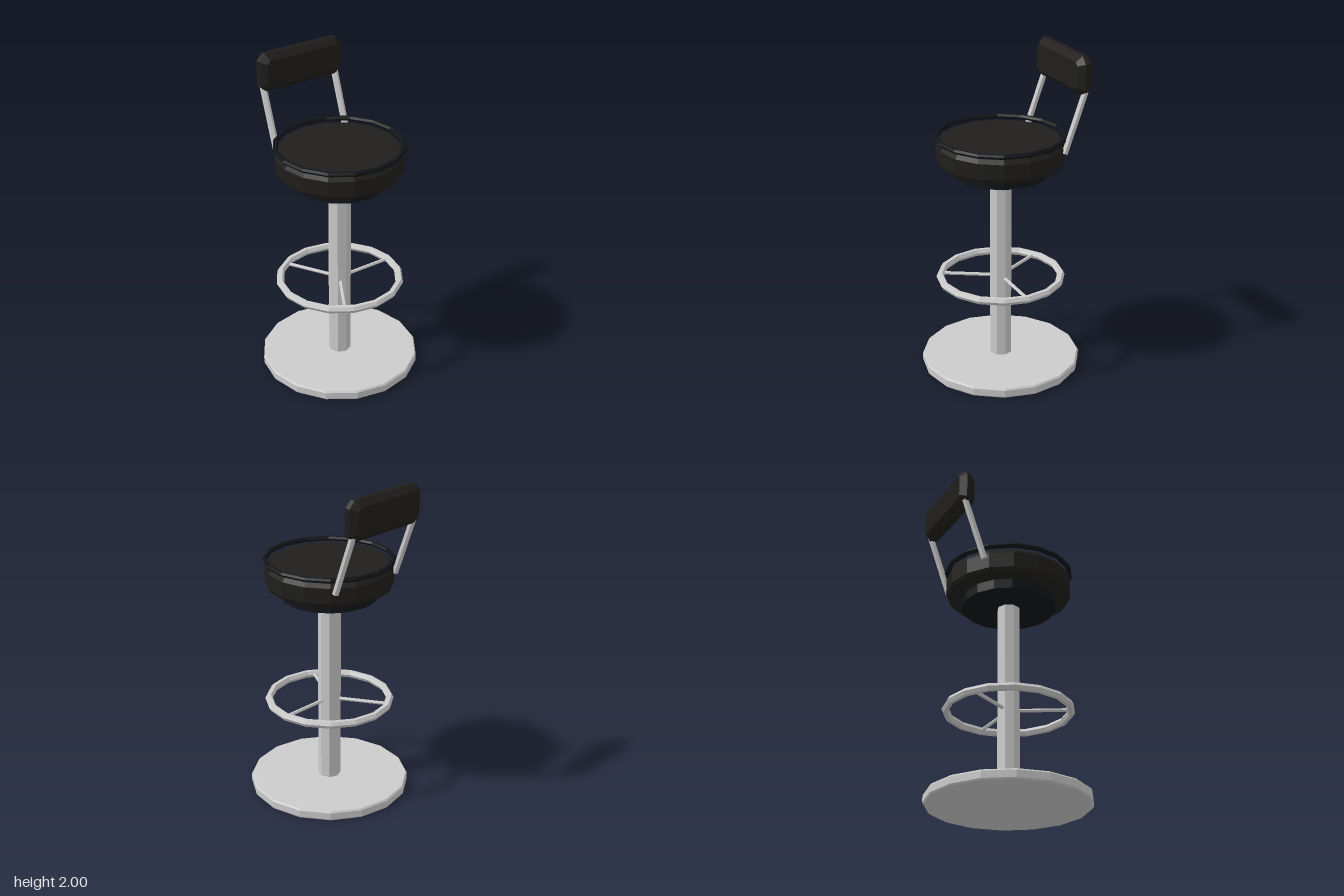
import * as THREE from 'three';

const mat = (color) => new THREE.MeshStandardMaterial({ color, flatShading: true });

export function createModel() {
  const stool = new THREE.Group();
  const metal = mat(0xcccccc);
  const cushion = mat(0x1f1e1c);
  const trim = mat(0x111418);

  const add = (name, geometry, material) => {
    const mesh = new THREE.Mesh(geometry, material);
    mesh.name = name;
    stool.add(mesh);
    return mesh;
  };
  // Turned solid from [radius, height] pairs, bottom to top
  const turned = (points, sides = 16) =>
    new THREE.LatheGeometry(points.map(([r, y]) => new THREE.Vector2(r, y)), sides);
  // Faceted rod between two points
  const rod = (name, a, b, radius, sides) => {
    const dir = b.clone().sub(a);
    const mesh = add(name, new THREE.CylinderGeometry(radius, radius, dir.length(), sides), metal);
    mesh.position.copy(a).add(b).multiplyScalar(0.5);
    mesh.quaternion.setFromUnitVectors(new THREE.Vector3(0, 1, 0), dir.normalize());
  };
  // Horizontal ring with six-sided section
  const ring = (name, radius, tube, y, squash, material) => {
    const geometry = new THREE.TorusGeometry(radius, tube, 6, 16).rotateX(Math.PI / 2);
    geometry.scale(1, squash, 1).translate(0, y, 0);
    add(name, geometry, material);
  };

  // Floor plate and column
  add('base', turned([[0, 0], [0.487, 0], [0.495, 0.01], [0.495, 0.052], [0.487, 0.062], [0, 0.062]]), metal);
  add('column', new THREE.CylinderGeometry(0.07, 0.07, 1.24, 8).translate(0, 0.67, 0), metal);

  // Foot ring with three spokes
  ring('footRing', 0.375, 0.024, 0.59, 1, metal);
  for (let i = 0; i < 3; i++) {
    const a = (i * Math.PI * 2) / 3;
    const at = (r) => new THREE.Vector3(Math.cos(a) * r, 0.59, Math.sin(a) * r);
    rod('footRingSpoke', at(0.05), at(0.365), 0.011, 6);
  }

  // Seat: mounting plate, cushion and raised trim ring
  add('seatPlate', new THREE.CylinderGeometry(0.29, 0.29, 0.06, 16).translate(0, 1.297, 0), trim);
  add('seat', turned([[0, 1.34], [0.375, 1.34], [0.387, 1.36], [0.387, 1.455],
    [0.37, 1.48], [0.355, 1.487], [0, 1.487]]), cushion);
  ring('seatTrim', 0.384, 0.016, 1.503, 0.95, trim);

  // Backrest pad: chamfered rectangle with chamfered faces
  const w = 0.255, h = 0.083, c = 0.02, bevel = 0.036;
  const outline = new THREE.Shape([
    [-w + c, -h], [w - c, -h], [w, -h + c], [w, h - c],
    [w - c, h], [-w + c, h], [-w, h - c], [-w, -h + c],
  ].map(([x, y]) => new THREE.Vector2(x, y)));
  const pad = new THREE.ExtrudeGeometry(outline, {
    depth: 0.03, bevelEnabled: true, bevelSegments: 1, bevelSize: bevel, bevelThickness: bevel,
  });
  add('backrest', pad.translate(0, 1.881, -0.432), cushion);

  // Leaning posts that carry the backrest
  for (const side of [-1, 1]) {
    rod('backrestPost', new THREE.Vector3(side * 0.255, 1.425, -0.295),
      new THREE.Vector3(side * 0.255, 1.81, -0.432), 0.021, 6);
  }

  return stool;
}
